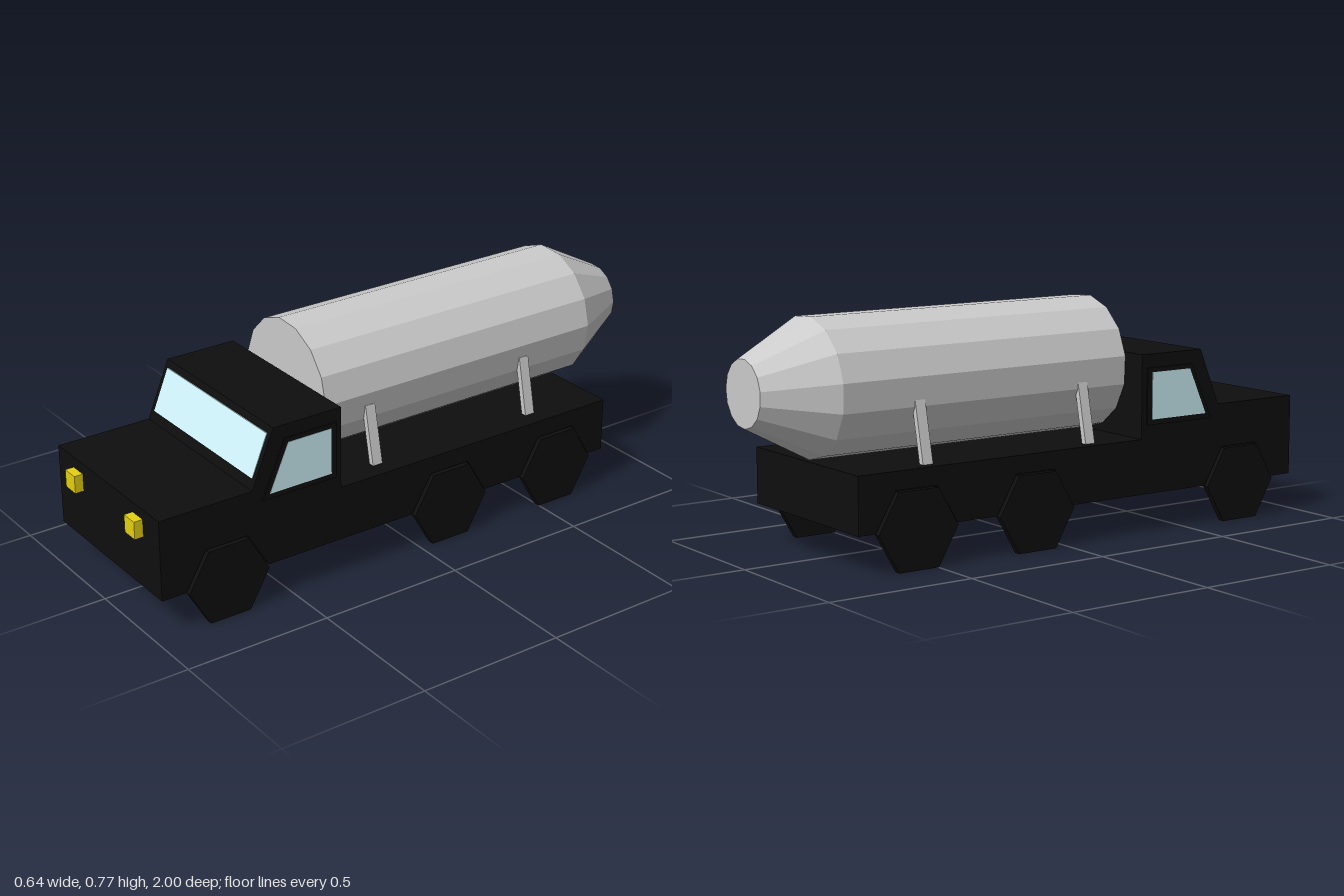
import * as THREE from 'three';

const paint = (color) => new THREE.MeshStandardMaterial({ color, flatShading: true });

export function createModel() {
  const root = new THREE.Group();
  root.name = 'tankTruck';
  const black = paint(0x0e0e0e), glass = paint(0xd0f4fa), yellow = paint(0xe6d010), grey = paint(0xcccccc);

  function add(name, geometry, material) {
    const mesh = new THREE.Mesh(geometry, material);
    mesh.name = name;
    root.add(mesh);
    return mesh;
  }

  // Side profile given as [z, y] points, extruded across the truck around x = cx
  function sideExtrude(points, width, cx = 0) {
    const shape = new THREE.Shape(points.map(([z, y]) => new THREE.Vector2(z, y)));
    return new THREE.ExtrudeGeometry(shape, { depth: width, bevelEnabled: false })
      .rotateY(-Math.PI / 2)
      .translate(cx + width / 2, 0, 0);
  }

  const wheelZ = [-0.57, -0.12, 0.735];
  const wheelR = 0.145, wheelY = wheelR * Math.sqrt(3) / 2;

  // Body: cab, hood and bed in one profile with hexagonal wheel arches
  const profile = [[0.97, 0.13], [0.97, 0.403], [0.64, 0.403], [0.56, 0.595], [0.31, 0.595], [0.31, 0.315], [-0.78, 0.315], [-0.78, 0.13]];
  for (const z of wheelZ) {
    const r = wheelR + 0.005;
    profile.push([z - r, 0.13], [z - r / 2, wheelY + r * 0.866], [z + r / 2, wheelY + r * 0.866], [z + r, 0.13]);
  }
  add('body', sideExtrude(profile, 0.618), black);

  // Windshield lying on the sloped cab front
  add('windshield', sideExtrude([[0.628, 0.435], [0.572, 0.573], [0.56, 0.573], [0.616, 0.435]], 0.582), glass);

  for (const side of [-1, 1]) {
    const label = side > 0 ? 'left' : 'right';

    // Side window and its raised frame
    add(label + 'WindowFrame', sideExtrude(
      [[0.605, 0.36], [0.52, 0.55], [0.33, 0.55], [0.33, 0.36]], 0.01, side * 0.309), black);
    add(label + 'Window', sideExtrude(
      [[0.58, 0.378], [0.51, 0.535], [0.35, 0.535], [0.35, 0.378]], 0.01, side * 0.31), glass);

    // Headlight
    add(label + 'Headlight', new THREE.BoxGeometry(0.059, 0.06, 0.04)
      .translate(side * 0.184, side > 0 ? 0.339 : 0.336, 0.98), yellow);

    // Hexagonal wheels
    wheelZ.forEach((z, i) => {
      const hexagon = Array.from({ length: 6 }, (_, k) => {
        const a = k * Math.PI / 3;
        return [z + wheelR * Math.cos(a), wheelY + wheelR * Math.sin(a)];
      });
      add(label + 'Wheel' + (i + 1), sideExtrude(hexagon, 0.022, side * 0.309), black);
    });

    // Struts leaning from the bed in to the tank
    [0.125, -0.505].forEach((z, i) => {
      add(label + 'Strut' + (i + 1), new THREE.BoxGeometry(0.02, 0.205, 0.037)
        .rotateZ(side * 0.21)
        .translate(-0.012 + side * 0.231, 0.409, z), grey);
    });
  }

  // Tank: fifteen-sided drum with a tapered rear
  const tank = [[0, -1], [0.108, -1], [0.225, -0.78], [0.225, 0.3], [0, 0.3]].map(([r, z]) => new THREE.Vector2(r, z));
  add('tank', new THREE.LatheGeometry(tank, 15, THREE.MathUtils.degToRad(92.4))
    .rotateX(Math.PI / 2)
    .translate(-0.012, 0.546, 0), grey);

  return root;
}
